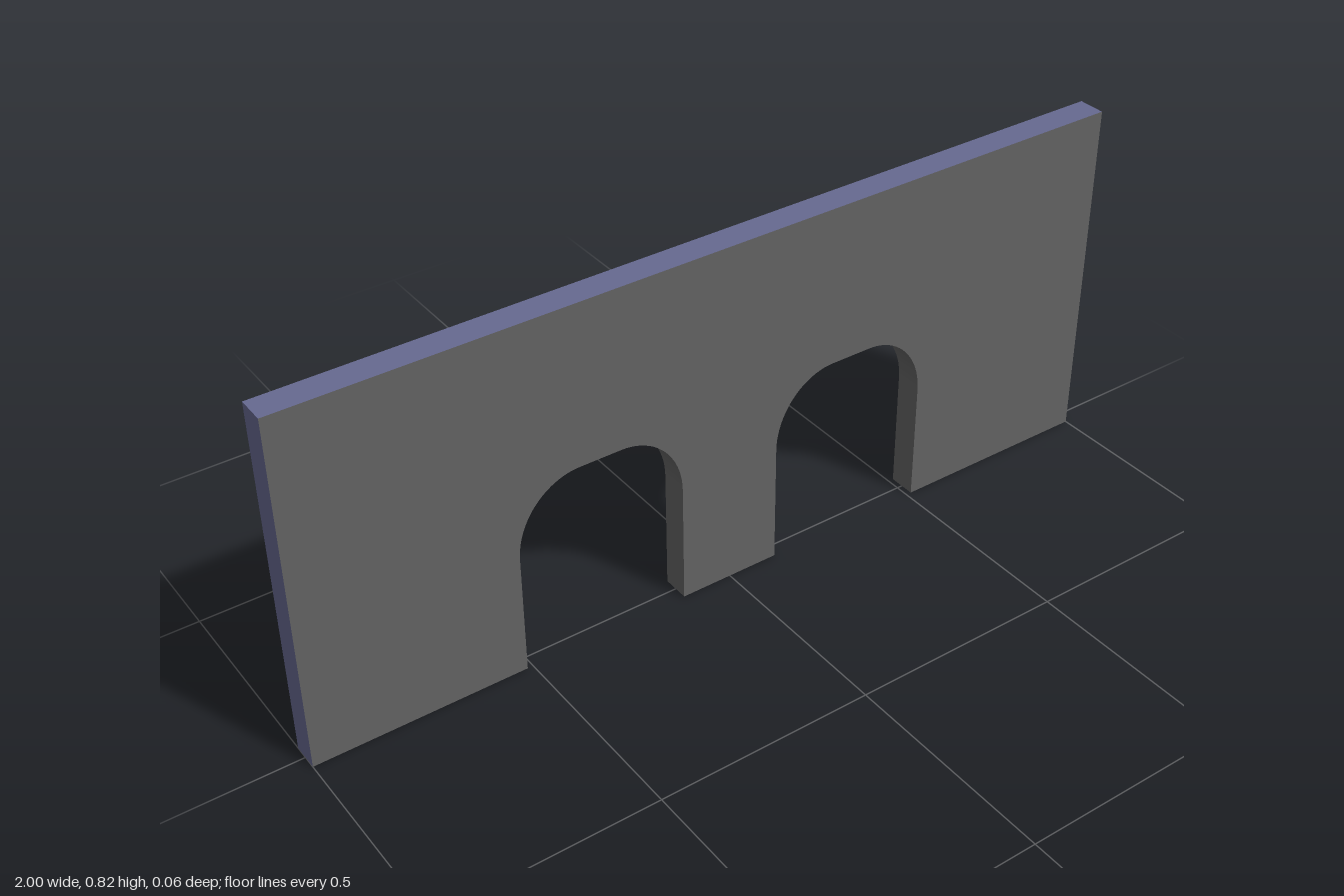
import * as THREE from 'three';

const HEIGHT = 0.825, DEPTH = 0.064;
const ARCH = { inner: 0.121, outer: 0.513, spring: 0.285, top: 0.45, rx: 0.147 };

// Cuts one round-shouldered doorway into the bottom edge, from x0 to x1
function addDoorway(shape, x0, x1) {
  const { spring, top, rx } = ARCH, ry = top - spring;
  shape.lineTo(x0, 0);
  shape.lineTo(x0, spring);
  shape.absellipse(x0 + rx, spring, rx, ry, Math.PI, Math.PI / 2, true);
  shape.lineTo(x1 - rx, top);
  shape.absellipse(x1 - rx, spring, rx, ry, Math.PI / 2, 0, true);
  shape.lineTo(x1, 0);
}

export function createModel() {
  const wallGrey = new THREE.MeshStandardMaterial({ color: 0x636363 });
  wallGrey.name = 'wallGrey';
  const edgeBlue = new THREE.MeshStandardMaterial({ color: 0x666990 });
  edgeBlue.name = 'edgeBlue';

  // Wall outline with two doorways
  const outline = new THREE.Shape();
  outline.moveTo(-1, 0);
  addDoorway(outline, -ARCH.outer, -ARCH.inner);
  addDoorway(outline, ARCH.inner, ARCH.outer);
  outline.lineTo(1, 0);
  outline.lineTo(1, HEIGHT);
  outline.lineTo(-1, HEIGHT);
  outline.closePath();

  const geometry = new THREE.ExtrudeGeometry(outline, { depth: DEPTH, bevelEnabled: false, curveSegments: 10 });
  geometry.translate(0, 0, -DEPTH / 2);

  // Outer edges are blue; the faces and the doorway linings are grey
  const pos = geometry.attributes.position;
  const normal = geometry.attributes.normal;
  geometry.clearGroups();
  for (let i = 0; i < pos.count; i += 3) {
    const onEdge = (test) => [0, 1, 2].every((k) => test(pos.getX(i + k), pos.getY(i + k)));
    const isSide = Math.abs(normal.getZ(i)) < 0.5;
    const isRim = onEdge((x) => Math.abs(x) > 0.999)
      || onEdge((x, y) => y < 0.001) || onEdge((x, y) => y > HEIGHT - 0.001);
    const index = isSide && isRim ? 1 : 0;
    const last = geometry.groups.at(-1);
    if (last && last.materialIndex === index) last.count += 3;
    else geometry.addGroup(i, 3, index);
  }

  const wall = new THREE.Mesh(geometry, [wallGrey, edgeBlue]);
  wall.name = 'archedWall';

  const group = new THREE.Group();
  group.name = 'wallWithTwoDoorways';
  group.add(wall);
  return group;
}
